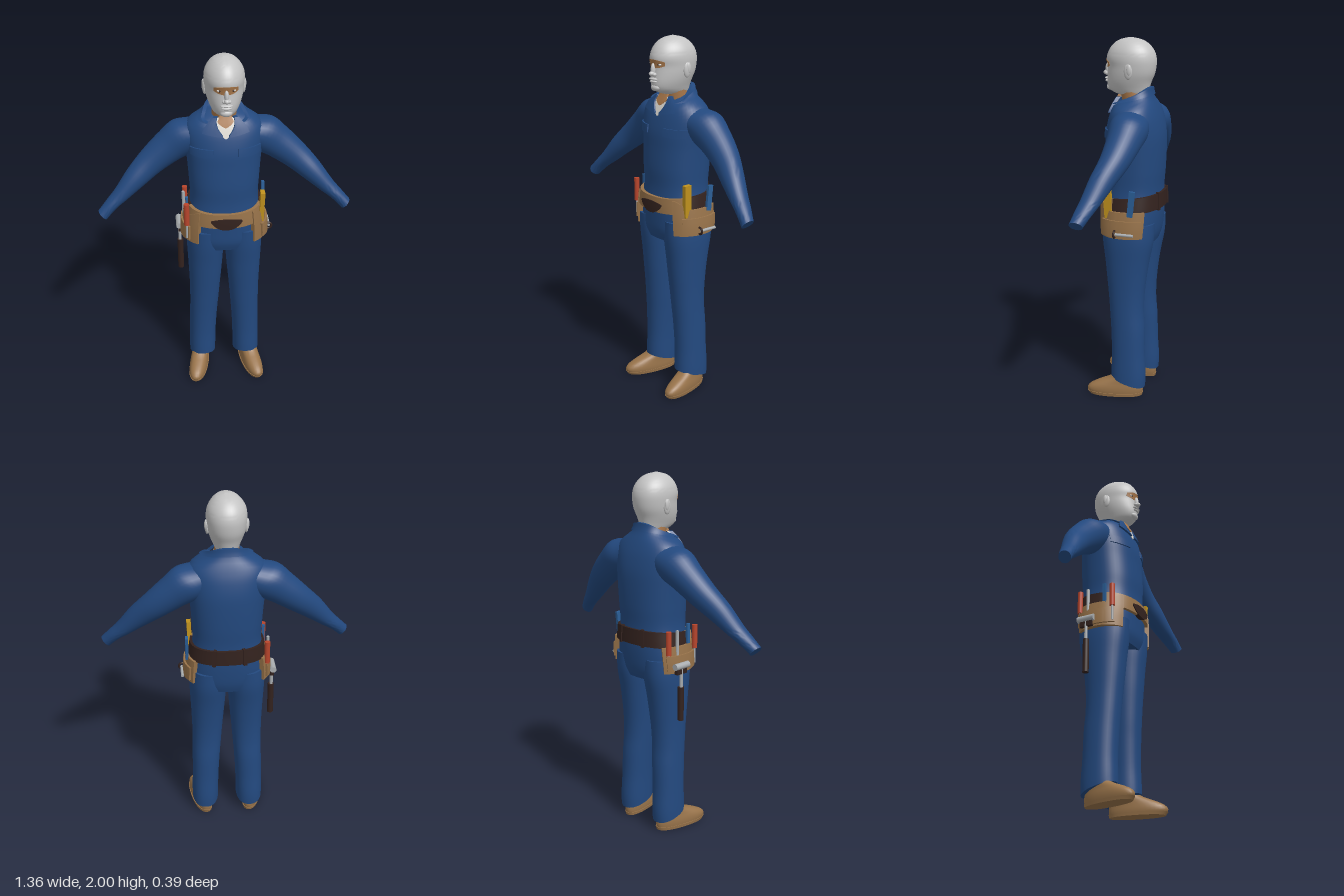
import * as THREE from 'three';
import { toCreasedNormals } from 'three/addons/utils/BufferGeometryUtils.js';

const { sin, cos, abs, min, max, sign, PI } = Math;
const mat = (name, color) => new THREE.MeshStandardMaterial({ name, color });

// Height-indexed body surface: rows are [y, centreX, halfWidth, backZ, frontZ].
// Angle 0 faces +z and grows towards +x.
function surface(rows, power = 2, taper = 0, shear = 0) {
  const last = rows.length - 1;
  const slope = (i, k) => {
    const a = rows[max(i - 1, 0)], b = rows[min(i + 1, last)];
    return (b[k] - a[k]) / (b[0] - a[0]);
  };
  return (y, a, off = 0) => {
    let i = 0;
    while (i < last - 1 && y > rows[i + 1][0]) i++;
    const p = rows[i], q = rows[i + 1], h = q[0] - p[0];
    const t = min(max((y - p[0]) / h, 0), 1), t2 = t * t, t3 = t2 * t;
    const [cx, rx, z0, z1] = [1, 2, 3, 4].map(k =>
      p[k] * (2 * t3 - 3 * t2 + 1) + q[k] * (3 * t2 - 2 * t3) +
      h * (slope(i, k) * (t3 - 2 * t2 + t) + slope(i + 1, k) * (t3 - t2)));
    const s = sign(sin(a)) * abs(sin(a)) ** (2 / power), c = sign(cos(a)) * abs(cos(a)) ** (2 / power);
    const z = (z0 + z1) / 2 + ((z1 - z0) / 2 + off) * c;
    return new THREE.Vector3(cx + (rx + off) * s * (1 - taper * max(0, c)) + shear * z, y, z);
  };
}

// Mesh from rows of points; side -1 mirrors across x.
function skinRows(rows, side = 1, crease = 0.9) {
  const n = rows[0].length, pos = [], idx = [];
  rows.flat().forEach(p => pos.push(p.x * side, p.y, p.z));
  for (let r = 0; r < rows.length - 1; r++) for (let j = 0; j < n - 1; j++) {
    const a = r * n + j, b = a + 1, c = a + n + 1, d = a + n;
    if (side > 0) idx.push(a, b, c, a, c, d); else idx.push(a, c, b, a, d, c);
  }
  const g = new THREE.BufferGeometry();
  g.setAttribute('position', new THREE.Float32BufferAttribute(pos, 3));
  g.setIndex(idx);
  return toCreasedNormals(g, crease);
}

// Closed tube from f(v, angle) with capped ends
function tube(f, nv, nu, side) {
  const rows = [];
  for (let i = 0; i <= nv; i++) {
    const row = [];
    for (let j = 0; j <= nu; j++) row.push(f(i / nv, (j / nu) * 2 * PI));
    rows.push(row);
  }
  const cap = row => {
    const c = new THREE.Vector3();
    row.slice(1).forEach(p => c.add(p));
    c.divideScalar(nu);
    return row.map(() => c);
  };
  return skinRows([cap(rows[0]), ...rows, cap(rows[nv])], side);
}

// Raised panel lying on a surface, between bottom yb(a) and top yt(a)
function panel(f, a0, a1, yb, yt, off, side = 1, nu = 24) {
  const rows = [[0, -0.01], [0, off], [0.33, off], [0.67, off], [1, off], [1, -0.01]].map(([v, o]) => {
    const row = [];
    for (let j = -1; j <= nu + 1; j++) {
      const a = a0 + (a1 - a0) * min(max(j / nu, 0), 1);
      const lo = yb(a), hi = max(lo, yt(a));
      row.push(f(lo + (hi - lo) * v, a, j < 0 || j > nu ? -0.01 : o));
    }
    return row;
  });
  return skinRows(rows, side, 0.7);
}

export function createModel() {
  const root = new THREE.Group();
  root.name = 'worker';
  const blue = mat('overall blue', 0x23497f), grey = mat('head grey', 0xc4c4c4), skin = mat('skin', 0xa8774a),
    white = mat('shirt white', 0xdcd8d0), tan = mat('tan leather', 0x98734a), dark = mat('dark leather', 0x33221e),
    steel = mat('steel', 0xa9adb0), red = mat('red grip', 0xb8452c), yellow = mat('yellow rule', 0xc0921e),
    toolBlue = mat('blue grip', 0x2b5f98);
  const add = (name, geo, m, x = 0, y = 0, z = 0, rx = 0, rz = 0) => {
    const o = new THREE.Mesh(geo, m);
    o.name = name;
    o.position.set(x, y, z);
    o.rotation.set(rx, 0, rz);
    root.add(o);
    return o;
  };
  const ball = (name, m, p, s) => add(name, new THREE.SphereGeometry(1, 20, 14), m, ...p).scale.set(...s);
  const rod = (name, m, r, len, p, rx, rz) => add(name, new THREE.CylinderGeometry(r, r, len, 14), m, ...p, rx, rz);
  const box = (name, m, size, p, rx, rz) => add(name, new THREE.BoxGeometry(...size), m, ...p, rx, rz);
  const k = v => () => v;

  // Torso, with a neck opening that is lower in front
  const torso = surface([
    [0.90, 0, 0.19, -0.15, 0.11], [0.95, 0, 0.207, -0.167, 0.127], [1.02, 0, 0.207, -0.177, 0.132],
    [1.10, 0, 0.198, -0.182, 0.134], [1.2, 0, 0.186, -0.18, 0.128], [1.3, 0, 0.19, -0.187, 0.131],
    [1.42, 0, 0.198, -0.19, 0.125], [1.5, 0, 0.206, -0.187, 0.12], [1.58, 0, 0.212, -0.172, 0.103],
    [1.63, 0, 0.195, -0.155, 0.086], [1.665, 0, 0.15, -0.14, 0.072], [1.69, 0, 0.108, -0.127, 0.06],
    [1.72, 0, 0.088, -0.117, 0.05], [1.76, 0, 0.082, -0.112, 0.045]], 2.3);
  const neckline = a => 1.69 - 0.045 * cos(a);
  add('torso', tube((v, a) => torso(0.9 + v * (neckline(a) - 0.9), a), 40, 48), blue);

  // Neck, undershirt and collar
  rod('neck', skin, 0.066, 0.14, [0, 1.665, -0.025], 0.25);
  add('undershirt', panel(torso, -0.34, 0.34, a => 1.585 + 0.22 * abs(a), k(1.685), 0.004), white);
  add('throat', panel(torso, -0.24, 0.24, a => 1.64 + 0.13 * abs(a), k(1.70), 0.008), skin);
  add('collar', panel(torso, 0.5, 2 * PI - 0.5, a => 1.68 - 0.025 * cos(a), a => neckline(a) + 0.01, 0.01, 1, 40), blue);

  const leg = surface([
    [0.03, 0.132, 0.075, -0.125, 0.064], [0.12, 0.131, 0.077, -0.13, 0.068], [0.25, 0.128, 0.077, -0.123, 0.065],
    [0.4, 0.122, 0.08, -0.12, 0.07], [0.5, 0.117, 0.083, -0.113, 0.077], [0.6, 0.113, 0.087, -0.115, 0.085],
    [0.7, 0.11, 0.093, -0.125, 0.095], [0.8, 0.108, 0.099, -0.14, 0.105], [0.92, 0.106, 0.105, -0.163, 0.12],
    [1.02, 0.105, 0.1, -0.168, 0.125]], 2.2);
  const boot = surface([
    [0, 0.15, 0.05, -0.108, 0.18], [0.03, 0.15, 0.054, -0.115, 0.197], [0.055, 0.15, 0.053, -0.114, 0.18],
    [0.08, 0.148, 0.05, -0.11, 0.13], [0.11, 0.145, 0.05, -0.105, 0.06], [0.16, 0.14, 0.05, -0.1, 0.035]], 2.3, 0, 0.19);
  // Sleeve rings: [x, y, z, radius across, radius in z]
  const sleeve = [
    [0.12, 1.57, -0.045, 0.09, 0.1], [0.2, 1.54, -0.055, 0.106, 0.103], [0.28, 1.488, -0.055, 0.092, 0.09],
    [0.385, 1.405, -0.04, 0.076, 0.076], [0.475, 1.325, -0.008, 0.062, 0.065], [0.56, 1.24, 0.022, 0.043, 0.052],
    [0.61, 1.195, 0.04, 0.035, 0.045], [0.66, 1.143, 0.06, 0.033, 0.036]];
  const centre = new THREE.CatmullRomCurve3(sleeve.map(r => new THREE.Vector3(r[0], r[1], r[2])));
  const radii = new THREE.SplineCurve(sleeve.map(r => new THREE.Vector2(r[3], r[4])));
  const arm = (v, a) => {
    const c = centre.getPoint(v), r = radii.getPoint(v);
    return new THREE.Vector3(c.x + 0.66 * r.x * cos(a), c.y + 0.75 * r.x * cos(a), c.z + r.y * sin(a));
  };

  // Paired parts
  for (const s of [1, -1]) {
    const name = s > 0 ? 'left' : 'right';
    add(name + 'Sleeve', tube(arm, 28, 28, s), blue);
    add(name + 'TrouserLeg', tube((v, a) => {
      const hem = 0.085 + 0.03 * cos(a);
      return leg(hem + v * (1.02 - hem), a);
    }, 32, 32, s), blue);
    add(name + 'Boot', tube((v, a) => boot(v * 0.16, a), 14, 36, s), tan);
    add(name + 'Sole', panel(boot, 0, 2 * PI, k(0), k(0.018), 0.004, s, 36), tan);
    add(name + 'Lapel', panel(torso, 0.05, 0.55, a => 1.595 + 0.035 * a, a => min(1.605 + 0.3 * (a - 0.05), 1.69), 0.012, s), blue);
    add(name + 'PocketFlap', panel(torso, 0.26, 1.02, a => 1.483 + 0.012 * abs(a - 0.64), k(1.53), 0.007, s), blue);
    // Tool pouch with an outer pocket
    add(name + 'Pouch', panel(torso, 0.68, 2.2, k(0.955), a => 1.15 - 0.05 * min(1, max(0, a - 0.75) * 2), 0.026, s), tan);
    add(name + 'PouchPocket', panel(torso, 0.95, 2.1, a => 0.965 + 0.02 * (a - 1.5) ** 2, k(1.055), 0.036, s), tan);
    // Ear and eye
    ball(name + 'Ear', grey, [s * 0.1, 1.83, -0.018], [0.012, 0.042, 0.023]);
    ball(name + 'EarLobe', grey, [s * 0.106, 1.838, -0.024], [0.009, 0.03, 0.014]);
    ball(name + 'Eye', white, [s * 0.034, 1.861, 0.112], [0.014, 0.007, 0.011]);
    ball(name + 'Pupil', dark, [s * 0.034, 1.861, 0.12], [0.005, 0.005, 0.005]);
    ball(name + 'Nostril', grey, [s * 0.013, 1.808, 0.129], [0.011, 0.01, 0.014]);
  }

  // Head with a skin-coloured strip around the eyes
  const head = surface([
    [1.695, 0, 0.05, -0.09, 0.05], [1.715, 0, 0.064, -0.1, 0.105], [1.735, 0, 0.073, -0.104, 0.125],
    [1.77, 0, 0.087, -0.114, 0.13], [1.81, 0, 0.098, -0.131, 0.127], [1.85, 0, 0.103, -0.139, 0.124],
    [1.89, 0, 0.105, -0.14, 0.131], [1.93, 0, 0.097, -0.128, 0.119], [1.965, 0, 0.075, -0.1, 0.093],
    [1.988, 0, 0.046, -0.062, 0.057], [2.0, 0, 0.006, -0.01, 0.008]], 2.1, 0.12);
  add('head', tube((v, a) => head(1.695 + 0.305 * sin(v * PI / 2), a), 36, 40), grey);
  add('eyeStrip', panel(head, -0.68, 0.68, a => 1.84 + 0.03 * a * a, a => 1.885 - 0.025 * a * a, 0.002), skin);
  ball('noseBridge', grey, [0, 1.832, 0.125], [0.012, 0.036, 0.018]);
  ball('noseTip', grey, [0, 1.812, 0.137], [0.014, 0.013, 0.018]);
  ball('upperLip', grey, [0, 1.784, 0.128], [0.032, 0.007, 0.015]);
  ball('lowerLip', grey, [0, 1.77, 0.127], [0.027, 0.008, 0.014]);
  ball('chin', grey, [0, 1.738, 0.112], [0.032, 0.02, 0.022]);

  // Belt: tan in front, dark behind, with a dark front patch
  const low = a => 1.085 - 0.016 * cos(a), high = a => 1.169 - 0.016 * cos(a);
  add('frontBelt', panel(torso, -1.25, 1.25, low, high, 0.018, 1, 40), tan);
  add('backBelt', panel(torso, 1.25, 2 * PI - 1.25, low, high, 0.014, 1, 40), dark);
  add('beltPatch', panel(torso, -0.34, 0.34, a => 1.062 + 0.4 * a * a, a => 1.128 - 0.1 * a * a, 0.024), dark);
  for (const a of [2.75, 3.45]) add('beltLoop', panel(torso, a, a + 0.09, k(1.094), k(1.19), 0.02, 1, 4), dark);

  // Tools in the left pouch
  box('foldingRule', yellow, [0.024, 0.18, 0.042], [0.2, 1.15, 0.062], 0.05, -0.03);
  box('blueTool', toolBlue, [0.016, 0.14, 0.03], [0.222, 1.15, -0.075], -0.1, 0);
  rod('wrench', steel, 0.008, 0.1, [0.25, 0.985, -0.045], PI / 2);
  add('wrenchHolder', new THREE.TorusGeometry(0.018, 0.006, 8, 20), dark, 0.246, 0.985, 0.01);

  // Tools in the right pouch
  for (const [z, y] of [[0.085, 1.13], [-0.115, 1.125]]) {
    rod('screwdriverGrip', red, 0.015, 0.13, [-0.212, y, z]);
    rod('screwdriverShaft', steel, 0.006, 0.1, [-0.212, y - 0.1, z]);
  }
  rod('chisel', steel, 0.009, 0.14, [-0.222, 1.12, -0.06]);
  box('blueMarker', toolBlue, [0.014, 0.12, 0.018], [-0.208, 1.15, 0.035]);

  // Hammer hanging from its holder
  rod('hammerHead', steel, 0.018, 0.1, [-0.25, 1.0, -0.055], PI / 2);
  rod('hammerShaft', steel, 0.009, 0.14, [-0.248, 0.94, -0.055]);
  rod('hammerGrip', dark, 0.017, 0.19, [-0.246, 0.785, -0.055]);
  box('hammerHolder', dark, [0.02, 0.03, 0.075], [-0.246, 0.97, -0.055]);
  return root;
}
